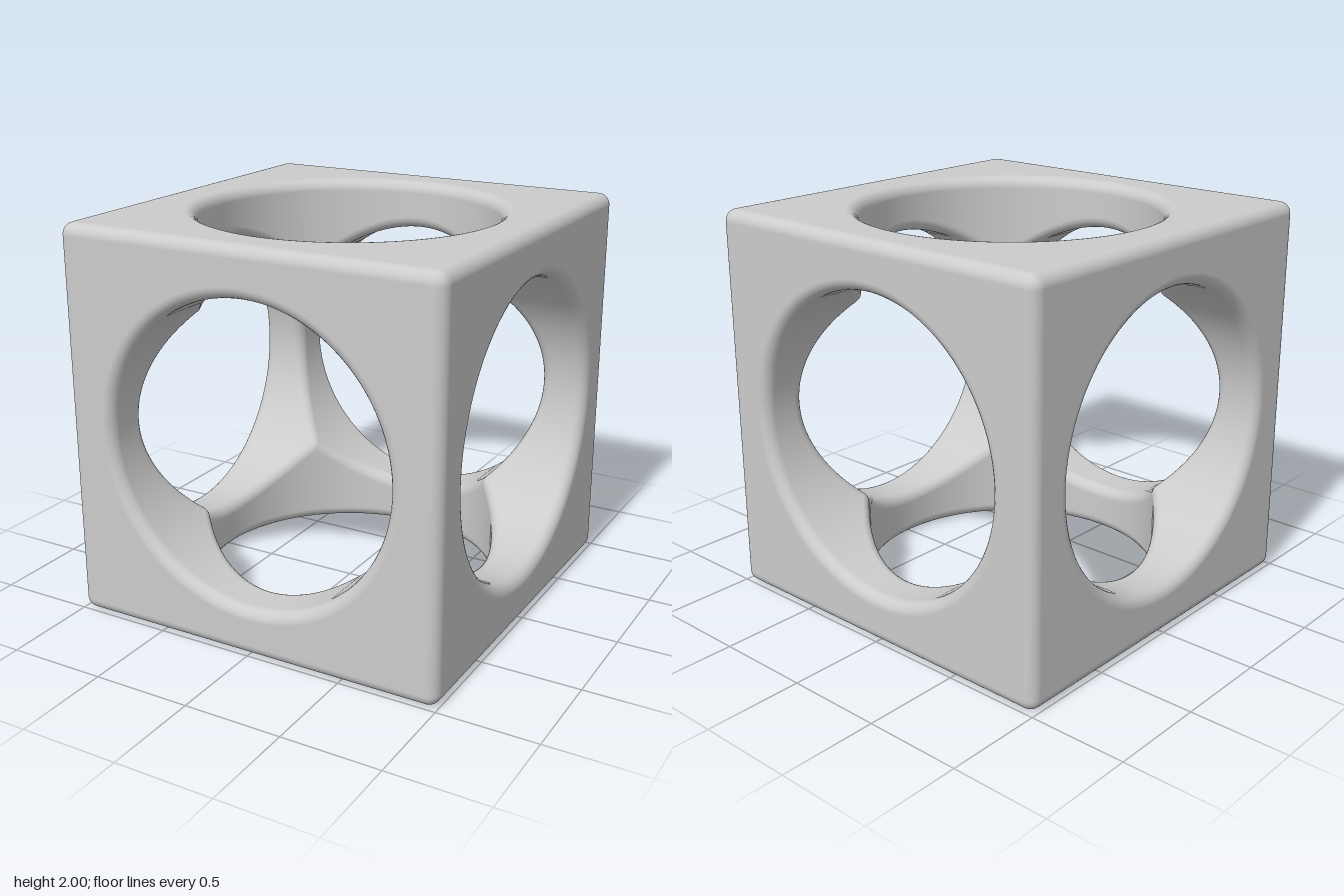
import * as THREE from 'three';
import { mergeGeometries } from 'three/addons/utils/BufferGeometryUtils.js';

const H = 1;      // half size of the cube
const R = 0.75;   // bore radius
const F = 0.06;   // fillet radius on every edge
const ARC = 6;    // steps per fillet

const V = (x, y, z) => new THREE.Vector3(x, y, z);

// Columns of a quarter face: angle about the bore and the direction of the inner fillet's end.
function quarterColumns() {
  const half = [];
  const limit = Math.atan(1 - F);
  for (let i = 0; i <= 16; i++) half.push(limit * i / 16);
  for (let i = 1; i <= 4; i++) half.push(Math.atan(1 - F + F * i / 4));
  const cols = half.map(t => ({ t, end: V(Math.cos(t), 2 * Math.sin(t), Math.cos(t)) }));
  // extra columns close the rounded inner corner where three bores meet
  for (let i = 1; i <= 4; i++) cols.push({ t: Math.PI / 4, end: V(1, 2 - i / 4, 1) });
  const mirrored = cols.slice(1).reverse().map(c => ({ t: -c.t, end: V(c.end.x, -c.end.y, c.end.z) }));
  return [...mirrored, ...cols];
}

// Points and normals down one column: outer edge, flat face, rim, bore wall, inner edge.
function columnProfile({ t, end }) {
  const out = [];
  const c = Math.cos(t), s = Math.sin(t);
  const clamp = v => THREE.MathUtils.clamp(v, -(H - F), H - F);
  const ball = (centre, n) => out.push({ p: centre.clone().addScaledVector(n, F), n });

  // rounded outer edge of the cube, up to its mitre
  for (let i = 0; i <= ARC; i++) {
    const k = H - F + F * Math.tan(Math.PI / 4 * (1 - i / ARC));
    const p = V(k, k * Math.tan(t), H);
    const inner = V(clamp(p.x), clamp(p.y), H - F);
    ball(inner, p.sub(inner).normalize());
  }
  // rounded rim of the bore
  const rim = V((R + F) * c, (R + F) * s, H - F);
  for (let i = 0; i <= ARC; i++) {
    const a = Math.PI / 2 * i / ARC;
    ball(rim, V(-c * Math.sin(a), -s * Math.sin(a), Math.cos(a)));
  }
  // inner edge between crossing bores, up to its mitre
  const edge = V((R + F) * c, (R + F) * s, (R + F) * c);
  const from = V(-c, -s, 0), to = end.clone().normalize().negate();
  const angle = from.angleTo(to);
  for (let i = 0; i <= ARC; i++) {
    const a = angle * i / ARC;
    const n = from.clone().multiplyScalar(Math.sin(angle - a)).addScaledVector(to, Math.sin(a));
    ball(edge, n.normalize());
  }
  return out;
}

function quarterGeometry() {
  const cols = quarterColumns().map(columnProfile);
  const rows = cols[0].length;
  const pos = [], nor = [], idx = [];
  cols.forEach((col, i) => col.forEach(({ p, n }, j) => {
    pos.push(p.x, p.y, p.z);
    nor.push(n.x, n.y, n.z);
    if (i < cols.length - 1 && j < rows - 1) {
      const a = i * rows + j, b = a + rows;
      idx.push(a, b, a + 1, b, b + 1, a + 1);
    }
  }));
  const g = new THREE.BufferGeometry();
  g.setAttribute('position', new THREE.Float32BufferAttribute(pos, 3));
  g.setAttribute('normal', new THREE.Float32BufferAttribute(nor, 3));
  g.setIndex(idx);
  return g;
}

export function createModel() {
  const model = new THREE.Group();
  model.name = 'boredCube';
  const material = new THREE.MeshStandardMaterial({ color: 0xcccccc });

  // one face with its bore, made of four equal quarters
  const quarter = quarterGeometry();
  const face = mergeGeometries([0, 1, 2, 3].map(k => quarter.clone().rotateZ(k * Math.PI / 2)));

  const q = Math.PI / 2;
  const sides = {
    frontFace: [0, 0], leftFace: [0, q], backFace: [0, 2 * q],
    rightFace: [0, -q], topFace: [-q, 0], bottomFace: [q, 0],
  };
  for (const [name, [rx, ry]] of Object.entries(sides)) {
    const mesh = new THREE.Mesh(face, material);
    mesh.name = name;
    mesh.rotation.set(rx, ry, 0);
    mesh.position.y = H;
    model.add(mesh);
  }
  return model;
}
